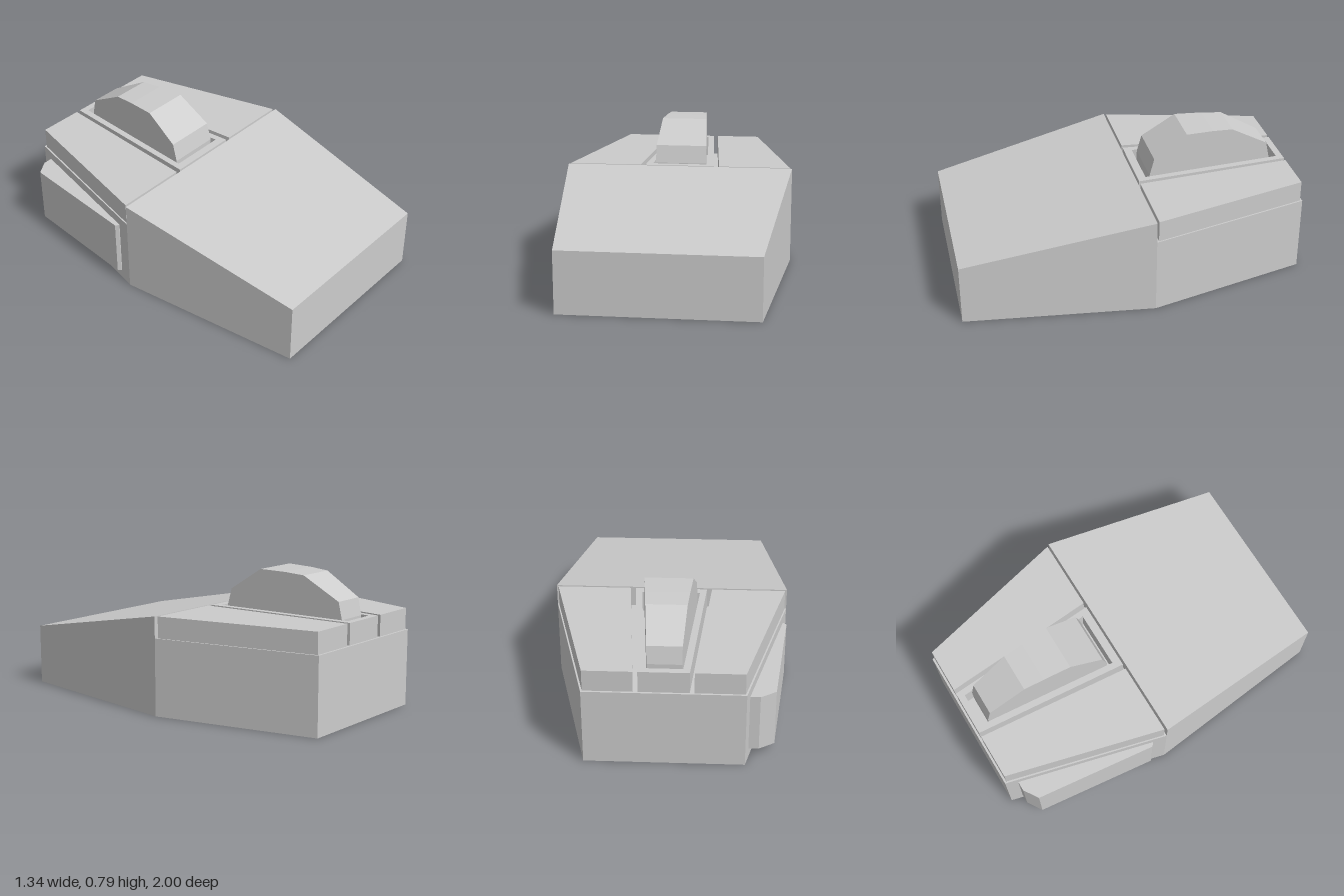
import * as THREE from 'three';

const material = new THREE.MeshStandardMaterial({ color: 0xcccccc, flatShading: true });

// Outline from [x, z] corners; the shape plane uses y = -z
const outline = (pts, Type = THREE.Shape) =>
  new Type(pts.map(([x, z]) => new THREE.Vector2(x, -z)));

// Upright prism over a plan outline, with an optional hole
function prism(pts, y0, y1, hole) {
  const shape = outline(pts);
  if (hole) shape.holes.push(outline(hole, THREE.Path));
  const geo = new THREE.ExtrudeGeometry(shape, { depth: y1 - y0, bevelEnabled: false });
  return geo.rotateX(-Math.PI / 2).translate(0, y0, 0);
}

// Symmetric trapezoid in plan: half width a at z0, half width b at z1
const trapezoid = (z0, a, z1, b) => [[-a, z0], [a, z0], [b, z1], [-b, z1]];

// Move every vertex by a rule
function reshape(geo, rule) {
  const p = geo.attributes.position;
  const v = new THREE.Vector3();
  for (let i = 0; i < p.count; i++) {
    rule(v.fromBufferAttribute(p, i));
    p.setXYZ(i, v.x, v.y, v.z);
  }
  geo.computeVertexNormals();
  return geo;
}

export function createModel() {
  const model = new THREE.Group();
  const add = (name, geo) => {
    const mesh = new THREE.Mesh(geo, material);
    mesh.name = name;
    model.add(mesh);
  };

  const zMid = -0.075, deckY = 0.44, topY = 0.562;

  // Sloping nose, widening towards the middle
  const nose = prism(trapezoid(1, 0.546, zMid, 0.667), 0, topY);
  add('nose', reshape(nose, (v) => {
    if (v.y > 0.1) v.y = THREE.MathUtils.mapLinear(v.z, 1, zMid, 0.35, topY);
  }));

  // Rear hull, narrowing to the back
  add('rearHull', prism(trapezoid(zMid, 0.667, -1, 0.432), 0, deckY));

  // Deck plates on the rear hull, separated by narrow gaps
  const zFront = -0.088, zBack = -0.988;
  for (const [side, name] of [[1, 'leftDeckPlate'], [-1, 'rightDeckPlate']]) {
    const plan = [[0.235, zFront], [0.656, zFront], [0.425, zBack], [0.16, zBack]];
    add(name, prism(plan.map(([x, z]) => [side * x, z]), deckY, topY));
  }
  add('centreDeckPlate', prism(
    trapezoid(zFront, 0.206, zBack, 0.135), deckY, topY,
    trapezoid(-0.135, 0.166, -0.95, 0.1)));

  // Cabin set in the opening, tapering to the back
  const profile = [[-0.163, deckY], [-0.163, 0.56], [-0.19, 0.662], [-0.385, 0.79],
    [-0.545, 0.788], [-0.665, 0.78], [-0.885, 0.657], [-0.907, 0.56], [-0.907, deckY]];
  const cabin = new THREE.ExtrudeGeometry(
    new THREE.Shape(profile.map(([z, y]) => new THREE.Vector2(z, y))),
    { depth: 2, bevelEnabled: false });
  cabin.translate(0, 0, -1).rotateY(-Math.PI / 2);
  add('cabin', reshape(cabin, (v) => {
    v.x *= THREE.MathUtils.mapLinear(v.z, -0.163, -0.907, 0.152, 0.093);
  }));

  // Box on the right flank
  add('sideBox', prism([[-0.4, -0.93], [-0.505, -0.93], [-0.59, -0.875],
    [-0.668, -0.17], [-0.652, -0.155], [-0.58, -0.155]], 0.057, 0.387));

  // The cabin profile runs front to back, so its faces must point outward
  return model;
}
